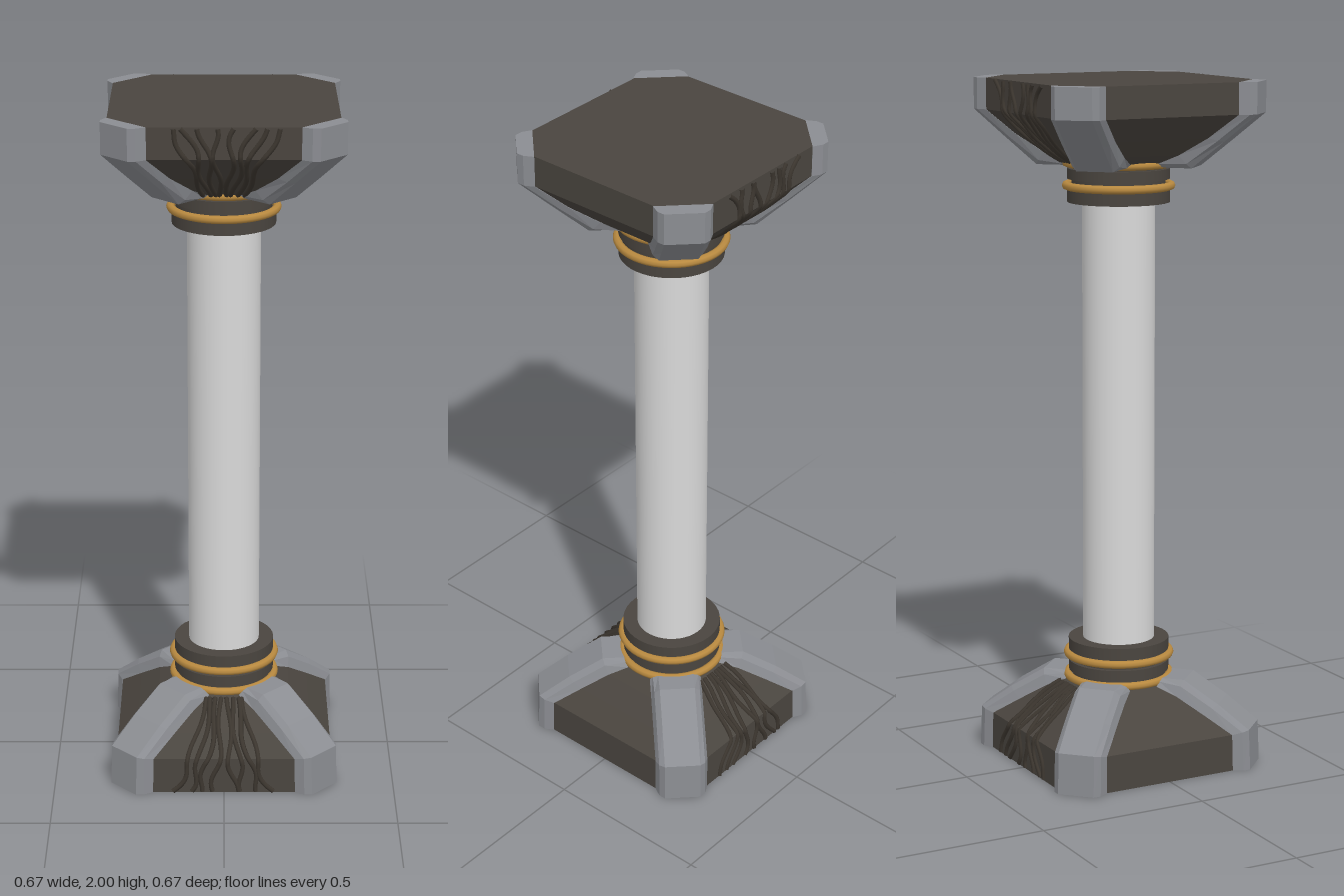
import * as THREE from 'three';

const mat = (name, color) => {
  const m = new THREE.MeshStandardMaterial({ color });
  m.name = name;
  return m;
};

// Flat-faced closed loft through rings of [x, y, z] points
function loft(rings) {
  const pos = [], n = rings[0].length, last = rings[rings.length - 1];
  const tri = (a, b, c) => pos.push(...a, ...b, ...c);
  for (let i = 0; i < rings.length - 1; i++) {
    for (let j = 0; j < n; j++) {
      const k = (j + 1) % n;
      tri(rings[i][j], rings[i][k], rings[i + 1][k]);
      tri(rings[i][j], rings[i + 1][k], rings[i + 1][j]);
    }
  }
  for (let j = 1; j < n - 1; j++) {
    tri(rings[0][0], rings[0][j + 1], rings[0][j]);
    tri(last[0], last[j], last[j + 1]);
  }
  const g = new THREE.BufferGeometry();
  g.setAttribute('position', new THREE.Float32BufferAttribute(pos, 3));
  g.computeVertexNormals();
  return g;
}

const CUT = 0.0757; // half width of the cut corners
const faceDist = (r) => (r + CUT) / Math.SQRT2;

// Profiles are [diagonal radius, height]
const BASE = {
  outer: [[0.419, 0], [0.414, 0.12], [0.32, 0.19], [0.216, 0.255], [0.15, 0.255]],
  inner: [[0.373, 0], [0.37, 0.108], [0.285, 0.16], [0.2, 0.21], [0.14, 0.235]],
  shift: 0,
};
const CAPITAL = {
  outer: [[0.419, 0], [0.419, 0.09], [0.325, 0.168], [0.23, 0.245], [0.15, 0.245]],
  inner: [[0.373, 0], [0.373, 0.09], [0.285, 0.157], [0.2, 0.207], [0.14, 0.232]],
  shift: -0.009,
};

function radiusAt(profile, y) {
  for (let i = 1; i < profile.length; i++) {
    const [r0, y0] = profile[i - 1], [r1, y1] = profile[i];
    if (y <= y1) return r0 + (r1 - r0) * (y - y0) / (y1 - y0);
  }
  return profile[profile.length - 1][0];
}

export function createModel() {
  const stone = mat('dark stone', 0x4a453f);
  const trim = mat('grey trim', 0x8b8d92);
  const gold = mat('gold', 0xb98a40);
  const pale = mat('pale shaft', 0xd9d9d9);
  const root = mat('dark root', 0x3c362f);

  const model = new THREE.Group();
  model.name = 'column';
  const add = (parent, name, geo, material, y = 0) => {
    const m = new THREE.Mesh(geo, material);
    m.name = name;
    m.position.y = y;
    parent.add(m);
    return m;
  };

  function buildEnd(name, { outer, inner, shift }) {
    const g = new THREE.Group();
    g.name = name;

    // Block with cut corners
    add(g, 'block', loft(inner.map(([r, y]) => {
      const h = faceDist(r), a = h - CUT * Math.SQRT2;
      return [[a, h], [h, a], [h, -a], [a, -h], [-a, -h], [-h, -a], [-h, a], [-a, h]]
        .map(([x, z]) => [x, y, z]);
    })), stone);

    // Bevelled ribs over the four corners
    const ribGeo = loft(outer.map(([ro, yo], i) => {
      const [ri, yi] = inner[i];
      const rm = ro + (ri - ro) * 0.35, ym = yo + (yi - yo) * 0.35;
      return [[-0.078, yi, ri], [-0.069, ym, rm], [-0.053, yo, ro],
        [0.053, yo, ro], [0.069, ym, rm], [0.078, yi, ri]];
    }));
    for (let k = 0; k < 4; k++) {
      add(g, 'cornerRib', ribGeo, trim).rotation.y = Math.PI / 4 + k * Math.PI / 2;
    }

    // Roots spreading over the front and back: [end x, top x, wobble phase]
    const roots = [[-0.15, -0.055, 0], [-0.105, -0.04, 0.9], [-0.075, -0.022, 2.2],
      [-0.03, -0.008, 3.4], [0.03, 0.01, 1.2], [0.06, 0.025, 4.3],
      [0.105, 0.04, 5.2], [0.14, 0.055, 2.8]];
    for (const side of [0, Math.PI]) {
      const rootsGroup = new THREE.Group();
      rootsGroup.name = 'roots';
      rootsGroup.rotation.y = side;
      for (const [x0, x1, phase] of roots) {
        const pts = [];
        for (let i = 0; i <= 14; i++) {
          const t = i / 14, y = 0.004 + t * 0.226;
          const x = x0 + (x1 - x0) * Math.pow(t, 0.8)
            + 0.014 * Math.sin(t * 9 + phase + side) * (1 - t * 0.7);
          pts.push(new THREE.Vector3(x, y, faceDist(radiusAt(inner, y)) + 0.001));
        }
        add(rootsGroup, 'root',
          new THREE.TubeGeometry(new THREE.CatmullRomCurve3(pts), 36, 0.0075, 6), root);
      }
      g.add(rootsGroup);
    }

    // Collar discs and gold rings
    const disc = (n, r, y0, y1) => add(g, n,
      new THREE.CylinderGeometry(r, r, y1 - y0, 40), stone, (y0 + y1) / 2 + shift);
    disc('collarNeck', 0.135, 0.2, 0.34);
    disc('lowerCollar', 0.148, 0.262, 0.292);
    disc('upperCollar', 0.148, 0.324, 0.359);
    for (const y of [0.246, 0.312]) {
      add(g, 'goldRing', new THREE.TorusGeometry(0.151, 0.012, 8, 48).rotateX(Math.PI / 2),
        gold, y + shift);
    }
    model.add(g);
    return g;
  }

  buildEnd('base', BASE);
  const capital = buildEnd('capital', CAPITAL);
  capital.rotation.x = Math.PI;
  capital.position.y = 2;

  // Round shaft
  add(model, 'shaft', new THREE.CylinderGeometry(0.105, 0.105, 1.4, 40), pale, 1.004);

  return model;
}
